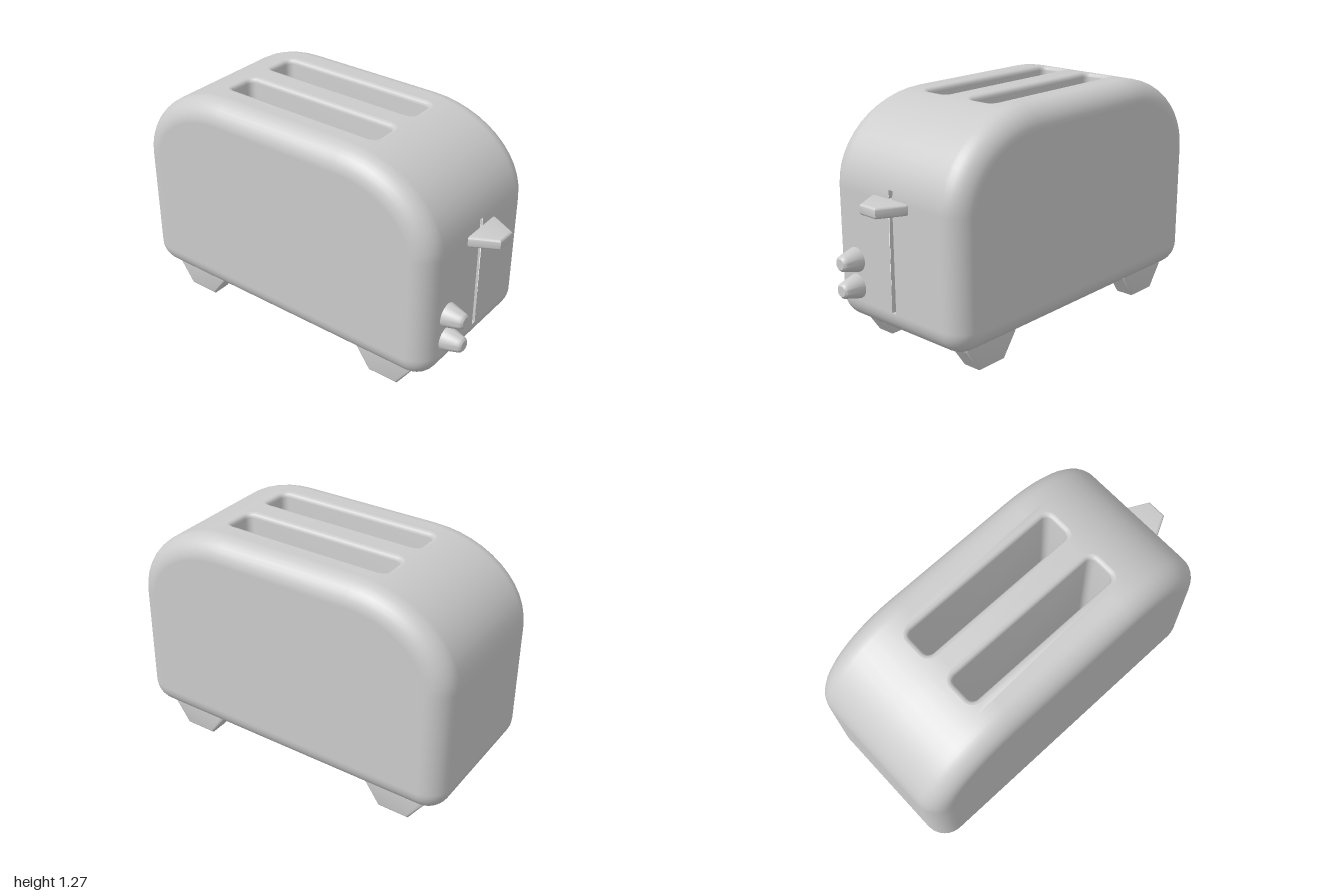
import * as THREE from 'three';
import { toCreasedNormals } from 'three/addons/utils/BufferGeometryUtils.js';

const material = new THREE.MeshStandardMaterial({ color: 0xcccccc });
const RIM = 0.12, HALF_Z = 0.45, PLATE_Z = 0.29, GROOVE_Z = 0.014, STEPS = 12;

function mesh(name, geometry) {
  const m = new THREE.Mesh(geometry, material);
  m.name = name;
  return m;
}

function bufferGeometry(pos, index, normal) {
  const g = new THREE.BufferGeometry();
  g.setAttribute('position', new THREE.Float32BufferAttribute(pos, 3));
  if (normal) g.setAttribute('normal', new THREE.Float32BufferAttribute(normal, 3));
  g.setIndex(index);
  return g;
}

// Side silhouette, counter-clockwise: four elliptical corners joined by straight runs
const corners = [
  [0.73, 0.26, 0.13, 0.13, -1], [0.31, 0.83, 0.55, 0.44, 0],
  [-0.45, 0.83, 0.55, 0.44, 1], [-0.87, 0.26, 0.13, 0.13, 2],
];
const outline = [];
for (const [cx, cy, rx, ry, quarter] of corners) {
  for (let k = 0; k <= STEPS; k++) {
    const a = (quarter + k / STEPS) * Math.PI / 2, c = Math.cos(a), s = Math.sin(a);
    const n = new THREE.Vector2(c / rx, s / ry).normalize();
    outline.push({ x: cx + rx * c, y: cy + ry * s, nx: n.x, ny: n.y });
  }
}
const TOP_FROM = 23, TOP_TO = 28;       // outline span of the slotted top plate
const GROOVE_FROM = 12, GROOVE_TO = 14; // outline span of the lever groove

// Height of the top surface at x, with its slope normal
function topAt(x) {
  const dx = x > 0.31 ? x - 0.31 : Math.min(0, x + 0.45);
  const dy = 0.44 * Math.sqrt(1 - (dx / 0.55) ** 2);
  return { y: 0.83 + dy, n: new THREE.Vector3(dx / 0.55 ** 2, dy / 0.44 ** 2, 0).normalize() };
}

// Shell: the silhouette swept along z with a rounded rim, open at the plate and groove
function shellGeometry() {
  const layers = [];
  const R = 8, flat = HALF_Z - RIM;
  for (let k = 0; k <= R; k++) layers.push({ a: (k / R - 1) * Math.PI / 2, z: -flat });
  for (const z of [-PLATE_Z, -GROOVE_Z, GROOVE_Z, PLATE_Z]) layers.push({ a: 0, z });
  for (let k = 0; k <= R; k++) layers.push({ a: k / R * Math.PI / 2, z: flat });
  const pos = [], nor = [], idx = [], n = outline.length;
  for (const L of layers) {
    const c = Math.cos(L.a), s = Math.sin(L.a), inset = RIM * (1 - c);
    L.depth = L.z + RIM * s;
    for (const p of outline) {
      pos.push(p.x - p.nx * inset, p.y - p.ny * inset, L.depth);
      nor.push(p.nx * c, p.ny * c, s);
    }
  }
  for (let j = 0; j < layers.length - 1; j++) {
    const mid = Math.abs(layers[j].depth + layers[j + 1].depth) / 2;
    for (let i = 0; i < n; i++) {
      if (i >= TOP_FROM && i < TOP_TO && mid < PLATE_Z) continue;
      if (i >= GROOVE_FROM && i < GROOVE_TO && mid < GROOVE_Z) continue;
      const a = j * n + i, b = j * n + (i + 1) % n;
      idx.push(a, b, b + n, a, b + n, a + n);
    }
  }
  // flat front and back faces
  const back = pos.length / 3, last = (layers.length - 1) * n;
  pos.push(-0.07, 0.65, -HALF_Z, -0.07, 0.65, HALF_Z);
  nor.push(0, 0, -1, 0, 0, 1);
  for (let i = 0; i < n; i++) {
    const k = (i + 1) % n;
    idx.push(back, k, i, back + 1, last + i, last + k);
  }
  return bufferGeometry(pos, idx, nor);
}

// Recess walls through successive rings, closed by a floor on the last ring
function recess(rings) {
  const n = rings[0].length, idx = [], pts = rings.flat();
  const centre = new THREE.Vector3();
  const last = rings[rings.length - 1];
  last.forEach(p => centre.addScaledVector(p, 1 / n));
  pts.push(centre);
  for (let i = 0; i < n; i++) {
    const k = (i + 1) % n;
    for (let j = 0; j < rings.length - 1; j++) {
      const a = j * n + i, b = j * n + k;
      idx.push(a, b, b + n, a, b + n, a + n);
    }
    const f = (rings.length - 1) * n;
    idx.push(pts.length - 1, f + i, f + k);
  }
  return toCreasedNormals(bufferGeometry(pts.flatMap(p => [p.x, p.y, p.z]), idx), 0.7);
}

// Rounded slot outline grown by e, in plan (x, -z)
function slotRing(cz, e) {
  const ring = [], r = 0.035;
  [[1, 1], [-1, 1], [-1, -1], [1, -1]].forEach(([sx, sy], q) => {
    for (let k = 0; k <= 5; k++) {
      const a = (q + k / 5) * Math.PI / 2;
      ring.push(new THREE.Vector2(
        -0.07 + sx * (0.46 - r) + (r + e) * Math.cos(a),
        -cz + sy * (0.08 - r) + (r + e) * Math.sin(a)));
    }
  });
  return ring;
}

const LIP = 0.025, SLOT_Z = 0.155;

function topPlateGeometry() {
  const xs = outline.slice(TOP_FROM, TOP_TO + 1).map(p => p.x);
  const shape = new THREE.Shape([
    ...xs.map(x => new THREE.Vector2(x, PLATE_Z)),
    ...xs.slice().reverse().map(x => new THREE.Vector2(x, -PLATE_Z)),
  ]);
  for (const s of [-1, 1]) shape.holes.push(new THREE.Path(slotRing(s * SLOT_Z, LIP)));
  const g = new THREE.ShapeGeometry(shape).rotateX(-Math.PI / 2);
  for (let i = 0; i < g.attributes.position.count; i++) {
    const t = topAt(g.attributes.position.getX(i));
    g.attributes.position.setY(i, t.y);
    g.attributes.normal.setXYZ(i, t.n.x, t.n.y, t.n.z);
  }
  return g;
}

function slotGeometry(cz) {
  const rings = [];
  for (let k = 0; k <= 4; k++) {
    const a = k / 4 * Math.PI / 2;
    rings.push(slotRing(cz, LIP * (1 - Math.sin(a))).map(p =>
      new THREE.Vector3(p.x, topAt(p.x).y - LIP * (1 - Math.cos(a)), -p.y)));
  }
  rings.push(slotRing(cz, 0).map(p => new THREE.Vector3(p.x, 0.6, -p.y)));
  return recess(rings);
}

function grooveGeometry() {
  const lo = outline[GROOVE_FROM], hi = outline[GROOVE_TO];
  return recess([0, 0.05].map(d => [[lo, -1], [hi, -1], [hi, 1], [lo, 1]].map(([p, s]) =>
    new THREE.Vector3(p.x - d, p.y, s * GROOVE_Z))));
}

// Prism with softened edges, centred on its extrusion axis
function softPrism(points, depth, bevel) {
  const g = new THREE.ExtrudeGeometry(new THREE.Shape(points.map(p => new THREE.Vector2(...p))), {
    depth: depth - 2 * bevel, bevelSize: bevel, bevelThickness: bevel,
    bevelOffset: -bevel, bevelSegments: 3,
  });
  g.translate(0, 0, bevel - depth / 2);
  return toCreasedNormals(g, 0.6);
}

export function createModel() {
  const model = new THREE.Group();
  model.name = 'toaster';

  const body = new THREE.Group();
  body.name = 'body';
  body.add(mesh('shell', shellGeometry()), mesh('topPlate', topPlateGeometry()),
    mesh('leverGroove', grooveGeometry()));
  for (const s of [-1, 1]) body.add(mesh(s > 0 ? 'frontSlot' : 'backSlot', slotGeometry(s * SLOT_Z)));
  model.add(body);

  // Tapered feet
  const footGeometry = softPrism([[-0.087, 0], [0.087, 0], [0.175, 0.125], [0.175, 0.16],
    [-0.175, 0.16], [-0.175, 0.125]], 0.12, 0.014);
  for (const x of [-0.705, 0.56]) for (const z of [-0.315, 0.315]) {
    const foot = mesh('foot', footGeometry);
    foot.position.set(x, 0, z);
    model.add(foot);
  }

  // Push-down lever
  const lever = mesh('lever', softPrism([[0.83, -0.123], [0.87, -0.123], [1, -0.055], [1, 0.055],
    [0.87, 0.123], [0.83, 0.123]], 0.055, 0.012).rotateX(-Math.PI / 2));
  lever.position.y = 0.817;
  model.add(lever);

  // Two tapered control knobs
  const profile = [[0.064, -0.01], [0.064, 0.004], [0.044, 0.08], [0.039, 0.096], [0.028, 0.105], [0, 0.105]];
  const knobGeometry = toCreasedNormals(
    new THREE.LatheGeometry(profile.map(p => new THREE.Vector2(...p)), 32).rotateZ(-Math.PI / 2), 0.6);
  for (const y of [0.335, 0.477]) {
    const knob = mesh('knob', knobGeometry);
    knob.position.set(0.86, y, 0.268);
    model.add(knob);
  }
  return model;
}
